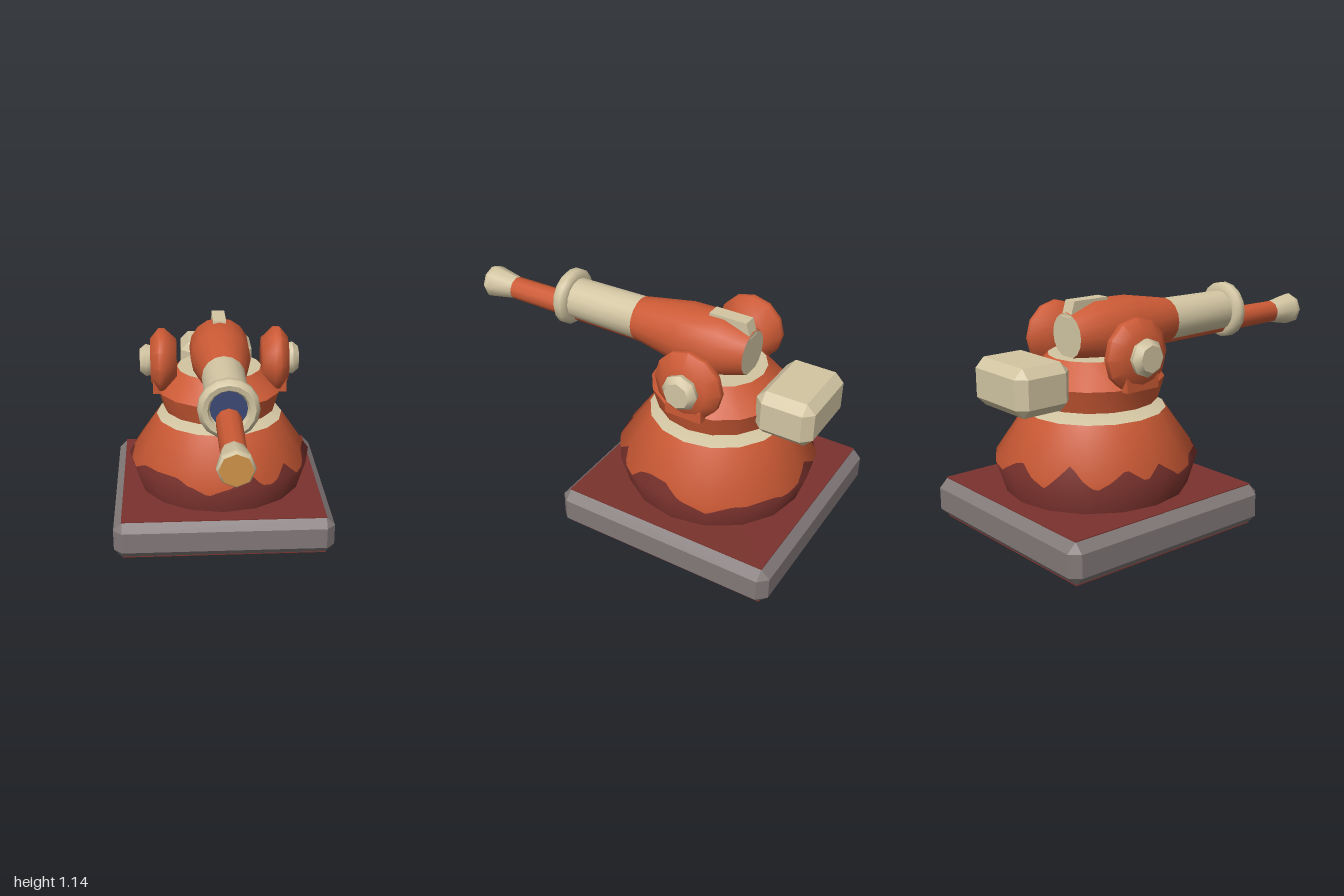
import * as THREE from 'three';
import { toCreasedNormals } from 'three/addons/utils/BufferGeometryUtils.js';
import { ConvexGeometry } from 'three/addons/geometries/ConvexGeometry.js';

const CZ = -0.415; // turning axis of the turret

function material(name, color) {
  const m = new THREE.MeshStandardMaterial({ color });
  m.name = name;
  return m;
}

// Lathe from [radius, height] pairs, keeping sharp edges
function lathe(pairs, sides) {
  const g = new THREE.LatheGeometry(pairs.map(([r, y]) => new THREE.Vector2(r, y)), sides);
  return toCreasedNormals(g, 0.9);
}

// Box with every edge chamfered
function chamferBox(w, h, d, c) {
  const pts = [];
  for (const sx of [-1, 1]) for (const sy of [-1, 1]) for (const sz of [-1, 1]) {
    const x = w / 2, y = h / 2, z = d / 2;
    pts.push(
      new THREE.Vector3(sx * x, sy * (y - c), sz * (z - c)),
      new THREE.Vector3(sx * (x - c), sy * y, sz * (z - c)),
      new THREE.Vector3(sx * (x - c), sy * (y - c), sz * z));
  }
  return new ConvexGeometry(pts);
}

// Height of the dark, wavy paint edge: [angle in degrees from +z toward +x, y]
const WAVE = [
  [-180, 0.41], [-175, 0.42], [-157, 0.33], [-143, 0.44], [-128, 0.33], [-111, 0.42],
  [-100, 0.36], [-90, 0.42], [-75, 0.335], [-60, 0.395], [-45, 0.4], [-30, 0.395],
  [-20, 0.365], [-10, 0.31], [0, 0.355], [5, 0.365], [12, 0.43], [18, 0.42], [24, 0.365],
  [32, 0.345], [45, 0.43], [52, 0.37], [58, 0.33], [68, 0.41], [75, 0.42], [88, 0.42],
  [97, 0.37], [113, 0.31], [128, 0.36], [153, 0.37], [165, 0.34], [180, 0.41],
];
const DOME = [[0.208, 0.452, -0.2], [0.37, 0.502, 0.15], [0.6, 0.345, 0.5]]; // y, radius, normal y

// Piecewise linear lookup of column k
function lookup(table, t, k) {
  let i = 1;
  while (i < table.length - 1 && t > table[i][0]) i++;
  const [a, b] = [table[i - 1], table[i]];
  return THREE.MathUtils.lerp(a[k], b[k], (t - a[0]) / (b[0] - a[0]));
}

// Band of the faceted dome between heights given per angle
function domeBand(rows) {
  const sides = 16, sub = 8, n = sides * sub, step = (Math.PI * 2) / sides;
  const pos = [], nor = [], idx = [];
  for (let i = 0; i <= n; i++) {
    const deg = -180 + (360 * i) / n, phi = THREE.MathUtils.degToRad(deg);
    const local = ((i % sub) / sub - 0.5) * step;
    const chord = Math.cos(step / 2) / Math.cos(local);
    for (const y of rows(lookup(WAVE, deg, 1))) {
      const r = lookup(DOME, y, 1) * chord, ny = lookup(DOME, y, 2), nr = Math.sqrt(1 - ny * ny);
      pos.push(r * Math.sin(phi), y, r * Math.cos(phi));
      nor.push(nr * Math.sin(phi), ny, nr * Math.cos(phi));
    }
  }
  for (let i = 0; i < n; i++) for (let j = 0; j < 2; j++) {
    const a = i * 3 + j, b = a + 3;
    idx.push(a, b, b + 1, a, b + 1, a + 1);
  }
  const g = new THREE.BufferGeometry();
  g.setAttribute('position', new THREE.Float32BufferAttribute(pos, 3));
  g.setAttribute('normal', new THREE.Float32BufferAttribute(nor, 3));
  g.setIndex(idx);
  return g;
}

export function createModel() {
  const red = material('orange red paint', 0xcc5a35);
  const dark = material('dark red paint', 0x7a322d);
  const cream = material('cream', 0xd2c5a2);
  const grey = material('warm grey', 0x827878);
  const navy = material('navy', 0x3c4774);
  const amber = material('amber', 0xd09349);

  const model = new THREE.Group();
  model.name = 'turret';
  const add = (name, geo, mat, x = 0, y = 0, z = 0, parent = model) => {
    const m = new THREE.Mesh(geo, mat);
    m.name = name;
    m.position.set(x, y, z);
    parent.add(m);
    return m;
  };

  // Plinth with dark panels above and below
  add('plinth', chamferBox(1.165, 0.202, 1.165, 0.045), grey, 0, 0.105, CZ);
  add('plinthTop', new THREE.BoxGeometry(1.08, 0.004, 1.08), dark, 0, 0.207, CZ);
  add('plinthBottom', new THREE.BoxGeometry(1.08, 0.004, 1.08), dark, 0, 0.002, CZ);

  // Dome with two paint bands and a pale collar
  add('domeLower', domeBand(h => [0.208, Math.min(h, 0.37), h]), dark, 0, 0, CZ);
  add('domeUpper', domeBand(h => [h, Math.max(h, 0.37), 0.6]), red, 0, 0, CZ);
  add('domeCollar', lathe([[0.345, 0.6], [0.25, 0.63], [0, 0.63]], 16), cream, 0, 0, CZ);

  // Rotating body
  add('body', lathe([[0.305, 0.645], [0.338, 0.755], [0.228, 0.87]], 16), red, 0, 0, CZ);
  add('bodyTop', new THREE.CircleGeometry(0.228, 16).rotateX(-Math.PI / 2), cream, 0, 0.87, CZ);
  add('bodyUnderside', new THREE.CircleGeometry(0.305, 16).rotateX(Math.PI / 2), navy, 0, 0.645, CZ);
  add('rearBox', chamferBox(0.405, 0.23, 0.295, 0.045), cream, 0, 0.785, -0.838);

  // Side pivots, mirrored
  for (const side of [1, -1]) {
    const pivot = new THREE.Group();
    pivot.name = side > 0 ? 'leftPivot' : 'rightPivot';
    pivot.position.set(0, 0.908, CZ);
    pivot.rotation.y = side > 0 ? 0 : Math.PI;
    model.add(pivot);
    const disc = [[0, 0.23], [0.115, 0.23], [0.175, 0.295], [0.175, 0.325], [0.12, 0.37], [0, 0.37]];
    const hub = [[0, 0.365], [0.085, 0.37], [0.092, 0.395], [0.065, 0.427], [0, 0.427]];
    add('pivotDisc', lathe(disc, 12).rotateZ(-Math.PI / 2), red, 0, 0, 0, pivot);
    add('pivotHub', lathe(hub, 8).rotateZ(-Math.PI / 2), cream, 0, 0, 0, pivot);
    add('pivotBracket', new THREE.BoxGeometry(0.11, 0.11, 0.19), red, 0.305, -0.105, 0, pivot);
  }

  // Main gun, turned along z
  const gun = new THREE.Group();
  gun.name = 'mainGun';
  gun.position.y = 0.97;
  model.add(gun);
  const alongZ = (pairs, sides) => lathe(pairs, sides).rotateX(Math.PI / 2);
  add('gunBreech', alongZ([[0.11, -0.578], [0.16, -0.44], [0.157, -0.23], [0.11, 0.04]], 16), red, 0, 0, 0, gun);
  add('gunRearCap', new THREE.CircleGeometry(0.11, 16).rotateY(Math.PI), cream, 0, 0, -0.578, gun);
  add('gunSleeve', alongZ([[0.11, 0.04], [0.105, 0.44]], 16), cream, 0, 0, 0, gun);
  add('gunRing', alongZ([[0.1, 0.422], [0.125, 0.422], [0.146, 0.442], [0.146, 0.475],
    [0.125, 0.495], [0.1, 0.49], [0.088, 0.465]], 16), cream, 0, 0, 0, gun);
  add('gunBore', new THREE.CircleGeometry(0.1, 16), navy, 0, 0, 0.466, gun);

  // Sight block on top of the breech, with a slanted rear
  const sight = new THREE.Shape([[-0.36, 1.137], [-0.35, 1.06], [-0.58, 1.06], [-0.555, 1.137]]
    .map(([z, y]) => new THREE.Vector2(-z, y)));
  add('sight', new THREE.ExtrudeGeometry(sight, { depth: 0.07, bevelEnabled: false })
    .translate(0, 0, -0.035).rotateY(Math.PI / 2), cream);

  // Slim lower barrel
  const barrel = new THREE.Group();
  barrel.name = 'slimBarrel';
  barrel.position.y = 0.91;
  model.add(barrel);
  add('barrelTube', alongZ([[0.068, -0.1], [0.06, 0.83]], 10), red, 0, 0, 0, barrel);
  add('muzzle', alongZ([[0.06, 0.83], [0.085, 0.965], [0.085, 0.985], [0.075, 1]], 8), cream, 0, 0, 0, barrel);
  add('muzzleTip', new THREE.CircleGeometry(0.075, 8, Math.PI / 2), amber, 0, 0, 1, barrel);

  return model;
}
